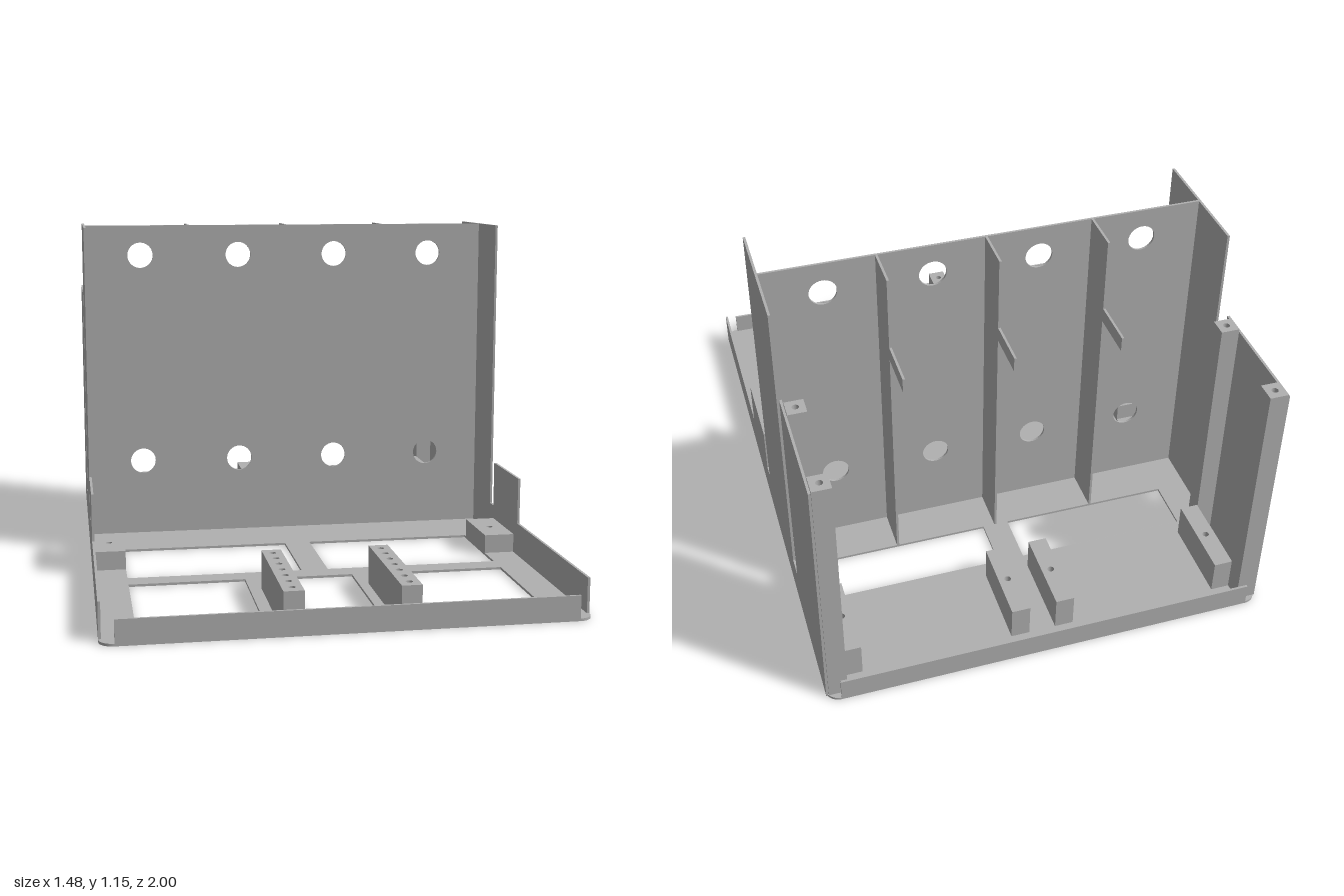
import * as THREE from 'three';

export function createModel() {
  const group = new THREE.Group();
  const grey = new THREE.MeshStandardMaterial({ color: 0xb0b0b0 });
  const T = 0.008; // sheet thickness

  const add = (name, geometry) => {
    const mesh = new THREE.Mesh(geometry, grey);
    mesh.name = name;
    group.add(mesh);
    return mesh;
  };
  const rect = (x0, y0, x1, y1) => new THREE.Path([
    [x0, y0], [x1, y0], [x1, y1], [x0, y1],
  ].map(p => new THREE.Vector2(...p)));
  const circle = (x, y, r) => new THREE.Path().absarc(x, y, r, 0, Math.PI * 2, true);
  const extrude = (shape, depth) =>
    new THREE.ExtrudeGeometry(shape, { depth, bevelEnabled: false, curveSegments: 16 });

  // Block lying on the floor plate, drilled from above at each of the z positions
  const drilledBlock = (name, x0, x1, z0, z1, top, holes) => {
    const shape = new THREE.Shape(rect(x0, -z1, x1, -z0).getPoints());
    for (const z of holes) shape.holes.push(circle((x0 + x1) / 2, -z, 0.011));
    add(name, extrude(shape, top - T).rotateX(-Math.PI / 2).translate(0, T, 0));
  };
  // Upright sheet drawn as [z, y] points, centred on x
  const uprightSheet = (name, x, points) => {
    const shape = new THREE.Shape(points.map(([z, y]) => new THREE.Vector2(-z, y)));
    add(name, extrude(shape, T).rotateY(Math.PI / 2).translate(x - T / 2, 0, 0));
  };

  // Floor plate with rounded corners and window cutouts
  const W = 0.742, r = 0.045;
  const floor = new THREE.Shape();
  floor.absarc(W - r, 1 - r, r, 0, Math.PI / 2);
  floor.absarc(-W + r, 1 - r, r, Math.PI / 2, Math.PI);
  floor.absarc(-W + r, -1 + r, r, Math.PI, Math.PI * 1.5);
  floor.absarc(W - r, -1 + r, r, Math.PI * 1.5, Math.PI * 2);
  floor.closePath();
  for (const [x0, x1, z0, z1] of [
    [-0.63, -0.045, -0.585, -0.41], [0.045, 0.63, -0.585, -0.41],
    [-0.63, -0.045, -0.015, 0.345], [0.045, 0.63, -0.015, 0.345],
    [-0.63, -0.247, 0.42, 0.88], [-0.113, 0.113, 0.42, 0.88], [0.247, 0.63, 0.42, 0.88],
  ]) floor.holes.push(rect(x0, -z1, x1, -z0));
  add('floorPlate', extrude(floor, T).rotateX(-Math.PI / 2));

  // Low lips at the front and back
  for (const [name, z] of [['frontLip', 1 - T / 2], ['backLip', -1 + T / 2]]) {
    add(name, new THREE.BoxGeometry(1.394, 0.08, T)).position.set(0, 0.04, z);
  }

  // Tall cross panel with two rows of round holes
  const panel = new THREE.Shape(rect(-W + T, T, W - T, 1.148).getPoints());
  for (const x of [-0.538, -0.18, 0.178, 0.536])
    for (const y of [0.28, 1.04]) panel.holes.push(circle(x, y, 0.046));
  add('crossPanel', extrude(panel, T).translate(0, 0, -0.26 - T / 2));

  // Dividers behind the panel, each with an arm reaching back
  for (const x of [-0.36, 0, 0.36]) {
    uprightSheet('divider', x, [
      [-0.26, T], [-0.26, 1.148], [-0.41, 1.148], [-0.41, 0.89],
      [-0.575, 0.89], [-0.575, 0.84], [-0.41, 0.84], [-0.41, T],
    ]);
  }

  for (const [side, s] of [['left', 1], ['right', -1]]) {
    // Stepped and slotted side wall
    uprightSheet(side + 'Wall', s * (W - T / 2), [
      [0.953, 0], [0.953, 0.12], [0.275, 0.12], [0.275, 0.28], [-0.003, 0.28],
      [-0.003, 0.12], [-0.047, 0.12], [-0.047, 1.148], [-0.482, 1.148], [-0.482, 0.12],
      [-0.55, 0.12], [-0.55, 0.88], [-0.975, 0.88], [-0.975, 0],
    ]);
    const block = (name, a, b, ...rest) =>
      drilledBlock(side + name, Math.min(s * a, s * b), Math.max(s * a, s * b), ...rest);
    // Corner posts of the rear bay
    block('RearPost', 0.673, W - T, -0.98, -0.915, 0.89, [-0.948]);
    block('InnerPost', 0.673, W - T, -0.638, -0.577, 0.89, [-0.607]);
    // Mounting blocks on the floor
    block('OuterRearBlock', 0.61, 0.672, -0.918, -0.635, 0.125, [-0.775]);
    block('InnerRearBlock', 0.045, 0.107, -0.918, -0.635, 0.125, [-0.775]);
    block('SideBlock', 0.63, W - T, 0, 0.237, 0.072, [0.12]);
    // Front rail with a row of holes
    block('FrontRail', 0.145, 0.208, 0.533, 0.991, 0.135,
      Array.from({ length: 7 }, (_, i) => 0.571 + i * 0.0635));
  }
  return group;
}
